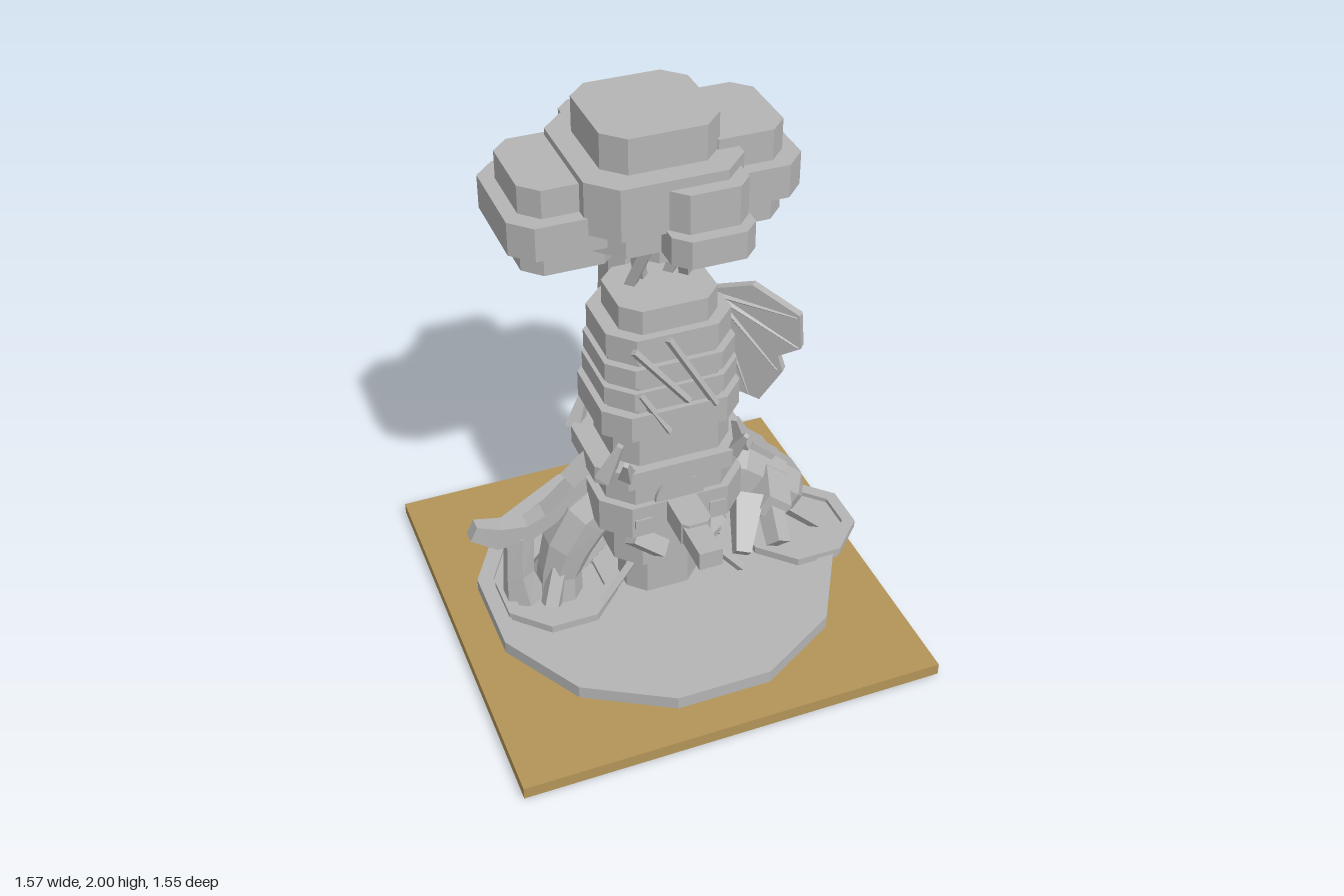
import * as THREE from 'three';

const stone = new THREE.MeshStandardMaterial({ color: 0xb4b4b4 });
stone.name = 'grey stone';
const earth = new THREE.MeshStandardMaterial({ color: 0xb39457 });
earth.name = 'brown ground';
const V = (x, y, z) => new THREE.Vector3(x, y, z);

// Skin over a stack of rings, with flat faces and closed ends
function loft(rings) {
  const pos = [], n = rings[0].length;
  const tri = (...p) => p.forEach(v => pos.push(v.x, v.y, v.z));
  for (let k = 0; k + 1 < rings.length; k++) {
    for (let i = 0; i < n; i++) {
      const j = (i + 1) % n, l = rings[k], u = rings[k + 1];
      tri(l[i], u[i], l[j]);
      tri(u[i], u[j], l[j]);
    }
  }
  const lo = rings[0], hi = rings[rings.length - 1];
  for (let i = 1; i + 1 < n; i++) {
    tri(hi[0], hi[i + 1], hi[i]);
    tri(lo[0], lo[i], lo[i + 1]);
  }
  const g = new THREE.BufferGeometry();
  g.setAttribute('position', new THREE.Float32BufferAttribute(pos, 3));
  g.computeVertexNormals();
  return g;
}

// Level rectangle with cut corners
function octRing(x0, x1, z0, z1, y, c) {
  return [[x1, z0 + c], [x1, z1 - c], [x1 - c, z1], [x0 + c, z1],
    [x0, z1 - c], [x0, z0 + c], [x0 + c, z0], [x1 - c, z0]].map(([x, z]) => V(x, y, z));
}
const octBlock = (x0, x1, z0, z1, y0, y1, c) =>
  loft([octRing(x0, x1, z0, z1, y0, c), octRing(x0, x1, z0, z1, y1, c)]);

// Bent limb in an upright plane; points are [x, y, half height, half width]
function limb(points, z, sides = 8) {
  const k = 1 / Math.cos(Math.PI / sides);
  return loft(points.map(([x, y, h, w], i) => {
    const a = points[Math.max(i - 1, 0)], b = points[Math.min(i + 1, points.length - 1)];
    const t = new THREE.Vector2(b[0] - a[0], b[1] - a[1]).normalize();
    return Array.from({ length: sides }, (_, s) => {
      const q = (s + 0.5) / sides * Math.PI * 2;
      const c = Math.cos(q) * k * h;
      return V(x + t.y * c, y - t.x * c, z + Math.sin(q) * k * w);
    });
  }));
}

// Straight bar between two points
function bar(a, b, r0, r1 = r0, sides = 4) {
  const p = V(...a), d = V(...b).sub(p);
  const g = new THREE.CylinderGeometry(r1, r0, d.length(), sides).toNonIndexed();
  g.computeVertexNormals();
  g.applyQuaternion(new THREE.Quaternion().setFromUnitVectors(V(0, 1, 0), d.clone().normalize()));
  return g.translate(p.x + d.x / 2, p.y + d.y / 2, p.z + d.z / 2);
}

export function createModel() {
  const root = new THREE.Group();
  root.name = 'treeTower';
  const add = (name, geo, mat = stone, parent = root) => {
    const m = new THREE.Mesh(geo, mat);
    m.name = name;
    parent.add(m);
    return m;
  };
  const group = name => {
    const g = new THREE.Group();
    g.name = name;
    root.add(g);
    return g;
  };
  const box = (w, h, d, x, y, z) => new THREE.BoxGeometry(w, h, d).translate(x, y, z);

  // Ground slab and twelve-sided plinth with a rim
  add('groundSlab', box(1.555, 0.046, 1.555, -0.012, 0.027, 0), earth);
  const disc = (apothem, y0, y1) => {
    const ring = y => Array.from({ length: 12 }, (_, i) => {
      const q = (i + 0.5) * Math.PI / 6, r = apothem / Math.cos(Math.PI / 12);
      return V(-0.013 + Math.cos(q) * r, y, Math.sin(q) * r);
    });
    return loft([ring(y0), ring(y1)]);
  };
  add('plinthFoot', disc(0.62, 0, 0.07));
  add('plinthFloor', disc(0.6, 0.06, 0.108));
  const outline = (r, n, off) => Array.from({ length: n }, (_, i) => {
    const q = (i + 0.5) / n * Math.PI * 2, k = r / Math.cos(Math.PI / n);
    return new THREE.Vector2(off + Math.cos(q) * k, Math.sin(q) * k);
  });
  const frame = (outer, inner, n, x, depth) => {
    const s = new THREE.Shape(outline(outer, n, x));
    s.holes.push(new THREE.Path(outline(inner, n, x)));
    return new THREE.ExtrudeGeometry(s, { depth, bevelEnabled: false }).rotateX(-Math.PI / 2);
  };
  add('plinthRim', frame(0.65, 0.592, 12, -0.013, 0.05).translate(0, 0.07, 0));

  // Two eight-sided pools
  for (const [side, x] of [['left', 0.575], ['right', -0.4]]) {
    add(side + 'PoolBase', octBlock(x - 0.2, x + 0.2, -0.23, 0.17, 0.09, 0.122, 0.115));
    add(side + 'PoolRim', frame(0.21, 0.165, 8, x, 0.03).translate(0, 0.11, -0.03));
  }

  // Tower storeys: [x0, x1, z0, z1, y0, y1, corner cut]
  const tower = group('tower');
  [[-0.15, 0.13, -0.11, 0.1, 0.1, 0.3, 0.06],
    [-0.21, 0.21, -0.14, 0.16, 0.3, 0.5, 0.08],
    [-0.28, 0.26, -0.18, 0.22, 0.5, 0.63, 0.09],
    [-0.25, 0.23, -0.17, 0.2, 0.63, 0.72, 0.08],
    [-0.295, 0.27, -0.2, 0.225, 0.72, 0.79, 0.09],
    [-0.22, 0.21, -0.155, 0.19, 0.79, 0.92, 0.07],
    [-0.265, 0.24, -0.19, 0.215, 0.92, 1.02, 0.08],
    [-0.235, 0.215, -0.165, 0.195, 1.02, 1.04, 0.08],
    [-0.25, 0.23, -0.18, 0.205, 1.04, 1.11, 0.08],
    [-0.23, 0.21, -0.165, 0.19, 1.11, 1.13, 0.08],
    [-0.245, 0.225, -0.175, 0.2, 1.13, 1.2, 0.08],
    [-0.225, 0.205, -0.155, 0.18, 1.2, 1.22, 0.08],
    [-0.235, 0.212, -0.165, 0.19, 1.22, 1.31, 0.08],
    [-0.185, 0.165, -0.13, 0.16, 1.31, 1.4, 0.06],
  ].forEach((b, i) => add('storey' + (i + 1), octBlock(...b), stone, tower));

  // Slanted bands on the front
  [[-0.17, 1.28, 0.02, 1.04], [-0.05, 1.3, 0.12, 1.0], [-0.15, 1.1, -0.05, 0.93]].forEach(([x, y, u, v]) =>
    add('frontBand', bar([x, y, 0.2], [u, v, 0.212], 0.014), stone, tower));

  // Spout, windows and brackets on the front
  add('spoutBlock', octBlock(-0.06, 0.05, 0.18, 0.37, 0.54, 0.63, 0.02), stone, tower);
  add('spoutTip', box(0.085, 0.07, 0.15, -0.013, 0.583, 0.43), stone, tower);
  add('arch', new THREE.CylinderGeometry(0.09, 0.09, 0.03, 12, 1, false, Math.PI / 2, Math.PI)
    .rotateX(Math.PI / 2).translate(-0.01, 0.63, 0.2), stone, tower);
  for (const s of [-1, 1]) {
    add('window', box(0.06, 0.035, 0.008, -0.01 + s * 0.14, 0.56, 0.223), stone, tower);
    add('frontBracket', bar([s * 0.17, 0.46, 0.16], [s * 0.06, 0.37, 0.17], 0.045), stone, tower);
    for (const z of [0.12, -0.1]) {
      add('brace', bar([s * 0.28, 0.12, z], [s * 0.12, 0.31, z * 0.8], 0.018), stone, tower);
      add('claw', bar([-0.01 + s * 0.26, 0.76, z * 1.4], [-0.01 + s * 0.21, 0.9, z * 1.6], 0.04, 0.015), stone, tower);
    }
    add('frontClaw', bar([s * 0.2, 0.77, 0.2], [s * 0.22, 0.86, 0.25], 0.035, 0.012), stone, tower);
  }

  // Claw on top of the tower holding the foliage
  for (const s of [-1, 1]) {
    add('topStrut', bar([s * 0.1, 1.39, -0.02], [s * 0.05, 1.6, 0.06], 0.025));
    add('topStrutInner', bar([s * 0.05, 1.39, -0.05], [s * 0.09, 1.58, 0], 0.025));
  }
  add('topKnob', octBlock(-0.06, 0.05, -0.03, 0.07, 1.51, 1.63, 0.03));
  add('branch', bar([0, 1.52, -0.32], [0, 1.575, 0.04], 0.055, 0.03, 6));

  // Trunk at the back with roots
  add('trunk', loft([[0.1, 0.14, -0.47, -0.21], [0.35, 0.115, -0.468, -0.225], [0.6, 0.105, -0.465, -0.238],
    [1.2, 0.085, -0.435, -0.237], [1.4, 0.08, -0.423, -0.24], [1.6, 0.075, -0.405, -0.27],
  ].map(([y, w, z0, z1]) => octRing(-w, w, z0, z1, y, w * 0.55))));
  add('trunkRib', box(0.06, 0.36, 0.06, 0, 0.76, -0.225));
  add('backRoot', bar([0, 0.2, -0.43], [0, 0.125, -0.61], 0.07, 0.035, 6));
  for (const s of [-1, 1]) add('sideRoot', bar([s * 0.08, 0.2, -0.36], [s * 0.25, 0.125, -0.42], 0.07, 0.035, 6));

  // Foliage blocks
  const foliage = group('foliage');
  [[-0.215, 0.19, -0.31, 0.1, 1.85, 2, 0.07],
    [-0.29, 0.25, -0.38, 0.18, 1.69, 1.875, 0.09],
    [-0.25, 0.21, -0.34, 0.14, 1.6, 1.69, 0.08],
    [-0.475, -0.15, -0.31, 0.05, 1.54, 1.85, 0.06],
    [-0.525, -0.15, -0.36, 0.1, 1.63, 1.75, 0.07],
    [0.12, 0.43, -0.31, 0.05, 1.58, 1.91, 0.06],
    [0.12, 0.48, -0.36, 0.1, 1.68, 1.8, 0.07],
    [-0.04, 0.23, 0, 0.23, 1.64, 1.84, 0.05],
    [-0.05, 0.237, 0, 0.275, 1.6, 1.7, 0.05],
    [-0.19, 0.18, -0.5, -0.25, 1.69, 1.85, 0.05],
    [-0.2, 0.23, -0.51, -0.25, 1.55, 1.69, 0.06],
  ].forEach((b, i) => add('foliageBlock' + (i + 1), octBlock(...b), stone, foliage));

  // Fan wing on the left side of the tower, with ribs
  const wing = group('wing');
  wing.position.set(0.2, 0, -0.01);
  wing.rotation.y = -0.74;
  const fan = new THREE.Shape([[-0.03, 1.31], [0.14, 1.365], [0.31, 1.28], [0.32, 1.15], [0.24, 1.1],
    [0.26, 1.04], [0.18, 0.9], [0.09, 0.92], [0.02, 1.1]].map(p => new THREE.Vector2(...p)));
  add('wingWeb', new THREE.ExtrudeGeometry(fan, { depth: 0.03, bevelEnabled: false }).translate(0, 0, -0.015), stone, wing);
  for (const [x, y] of [[0.3, 1.27], [0.31, 1.15], [0.24, 1.04], [0.14, 0.91]])
    add('wingRib', bar([0, 1.3, 0], [x, y, 0], 0.026, 0.018), stone, wing);

  // Beast head on the left, pouring into the pool
  const head = group('beastHead');
  add('neck', limb([[0.16, 0.58, 0.1, 0.09], [0.27, 0.52, 0.13, 0.11], [0.42, 0.4, 0.12, 0.11]], -0.02), stone, head);
  add('mane', limb([[0.33, 0.46, 0.1, 0.2], [0.42, 0.385, 0.1, 0.2]], -0.02), stone, head);
  add('muzzle', limb([[0.4, 0.42, 0.11, 0.12], [0.49, 0.345, 0.105, 0.11], [0.53, 0.315, 0.07, 0.08]], -0.02), stone, head);
  add('crest', limb([[0.32, 0.6, 0.045, 0.06], [0.41, 0.52, 0.045, 0.06]], -0.02, 4), stone, head);
  for (const s of [-1, 1]) {
    add('upperFin', bar([0.38, 0.43, -0.02 + s * 0.14], [0.36, 0.33, -0.02 + s * 0.28], 0.05, 0.045), stone, head);
    add('lowerFin', bar([0.3, 0.45, -0.02 + s * 0.12], [0.22, 0.32, -0.02 + s * 0.27], 0.075, 0.04), stone, head);
    add('stream', bar([0.46, 0.31, -0.02 + s * 0.03], [0.7, 0.07, -0.02 + s * 0.02], 0.03, 0.02), stone, head);
  }

  // Bent pipe, splash tail and arm on the right
  const pipe = group('rightSpout');
  add('bentPipe', limb([[-0.17, 0.53, 0.1, 0.1], [-0.28, 0.45, 0.1, 0.1], [-0.35, 0.33, 0.09, 0.09],
    [-0.385, 0.22, 0.075, 0.08], [-0.39, 0.12, 0.08, 0.09]], -0.03), stone, pipe);
  add('tailStem', limb([[-0.52, 0.12, 0.075, 0.06], [-0.54, 0.25, 0.05, 0.045], [-0.53, 0.42, 0.05, 0.035]], -0.035, 6), stone, pipe);
  add('tailFluke', limb([[-0.7, 0.49, 0.03, 0.025], [-0.61, 0.445, 0.045, 0.035], [-0.5, 0.44, 0.035, 0.035],
    [-0.42, 0.48, 0.03, 0.035], [-0.27, 0.62, 0.03, 0.035]], -0.035, 4), stone, pipe);
  add('arm', bar([-0.34, 0.65, 0], [-0.25, 0.75, 0.02], 0.05, 0.05), stone, pipe);
  for (const s of [-1, 1])
    add('pipeFoot', bar([-0.4, 0.26, -0.03 + s * 0.04], [-0.45, 0.13, -0.03 + s * 0.09], 0.04, 0.04, 5), stone, pipe);

  return root;
}
